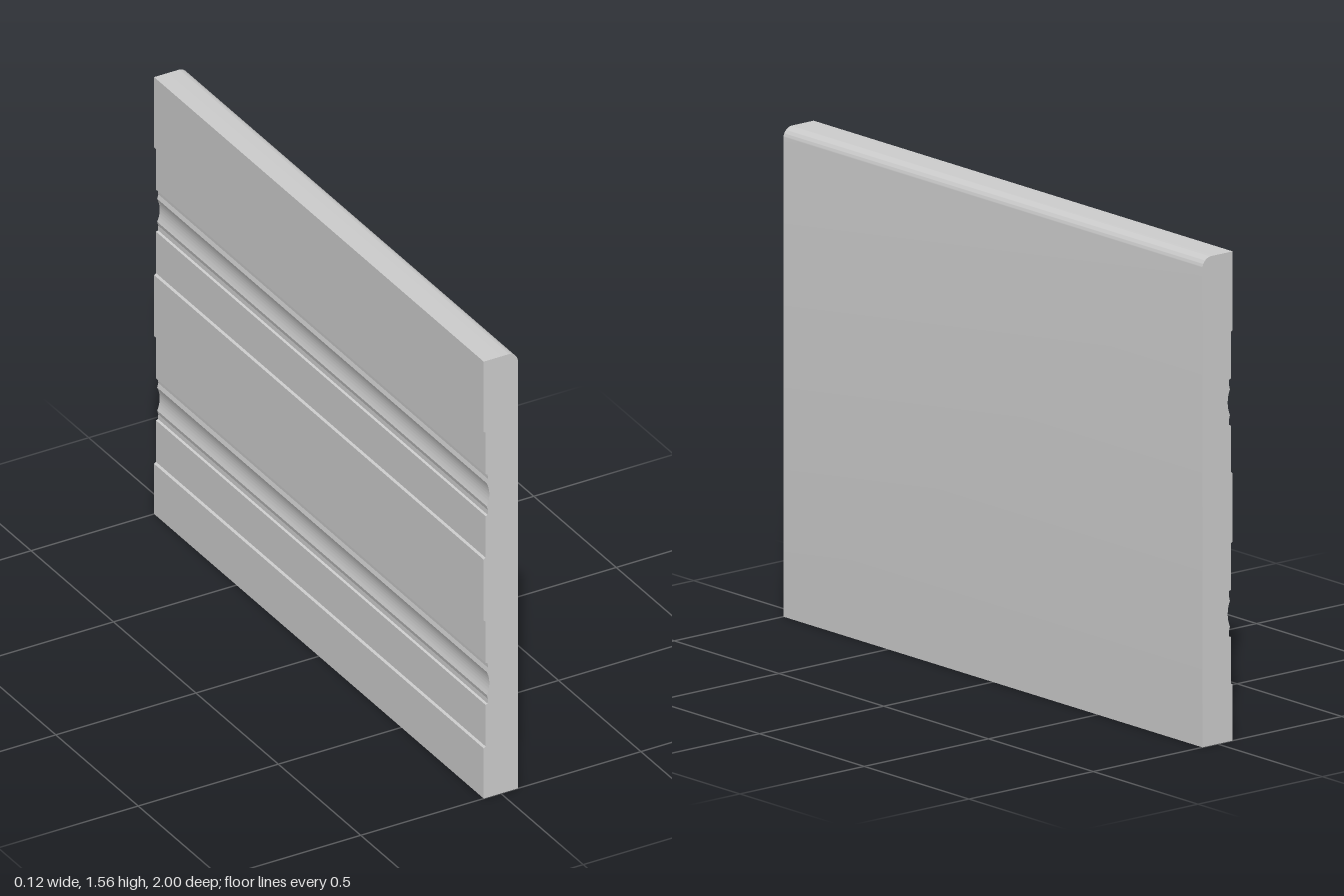
import * as THREE from 'three';
import { toCreasedNormals } from 'three/addons/utils/BufferGeometryUtils.js';

const BACK = -0.061, FRONT = 0.061, HEIGHT = 1.56, ROUND = 0.036;

// Half of a relief groove: [distance from groove centre, x]
const HALF_GROOVE = [
  [0.228, BACK], [0.223, -0.054], [0.075, -0.054], [0.072, -0.047],
  [0.056, -0.046], [0.041, -0.050],
];

// Draws one symmetrical groove on the back edge, from top to bottom
function addGroove(shape, centre) {
  for (const [d, x] of HALF_GROOVE) shape.lineTo(x, centre + d);
  // shallow concave hollow in the middle
  shape.quadraticCurveTo(-0.032, centre, -0.050, centre - 0.041);
  for (const [d, x] of [...HALF_GROOVE].reverse().slice(1)) shape.lineTo(x, centre - d);
}

export function createModel() {
  const group = new THREE.Group();
  group.name = 'skirtingBoard';

  // Board cross-section with a rounded top edge and two grooves on the back
  const profile = new THREE.Shape();
  profile.moveTo(BACK, 0);
  profile.lineTo(FRONT, 0);
  profile.lineTo(FRONT, HEIGHT - ROUND);
  profile.absarc(FRONT - ROUND, HEIGHT - ROUND, ROUND, 0, Math.PI / 2, false);
  profile.lineTo(BACK, HEIGHT);
  for (const centre of [1.081, 0.407]) addGroove(profile, centre);
  profile.closePath();

  // Straight length of board along z
  const extruded = new THREE.ExtrudeGeometry(profile, { depth: 2, bevelEnabled: false, curveSegments: 16 });
  extruded.translate(0, 0, -1);
  const board = new THREE.Mesh(
    toCreasedNormals(extruded, 0.3),
    new THREE.MeshStandardMaterial({ color: 0xcccccc })
  );
  board.name = 'board';
  group.add(board);
  return group;
}
